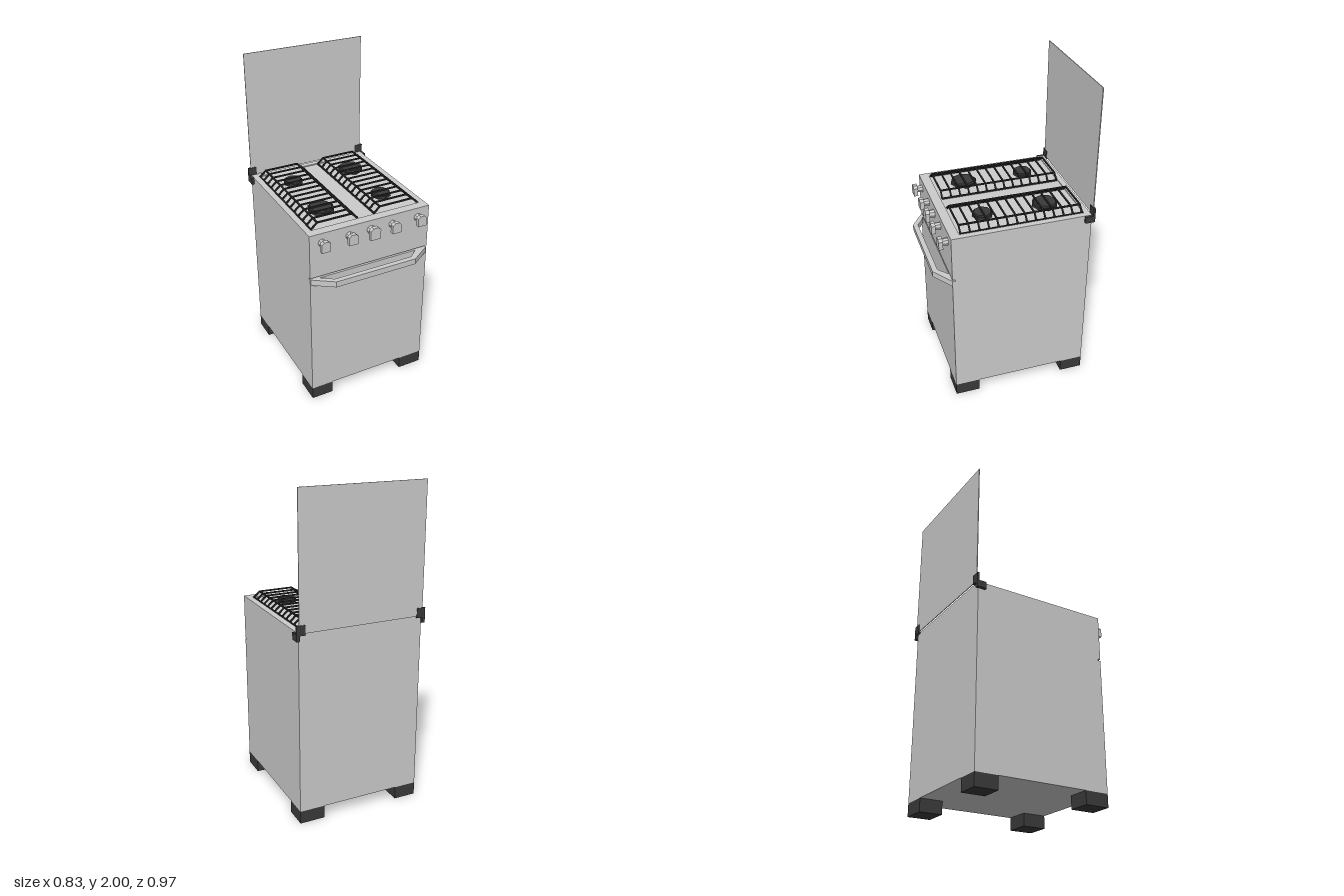
import * as THREE from 'three';
import { mergeGeometries } from 'three/addons/utils/BufferGeometryUtils.js';

const grey = new THREE.MeshStandardMaterial({ color: 0xcccccc, flatShading: true });
const dark = new THREE.MeshStandardMaterial({ color: 0x3a3a3a, flatShading: true });
const iron = new THREE.MeshStandardMaterial({ color: 0x2a2a2a, flatShading: true });

const shapeOf = (pts) => new THREE.Shape(pts.map(([x, y]) => new THREE.Vector2(x, y)));
const extrude = (shape, depth) => new THREE.ExtrudeGeometry(shape, { depth, bevelEnabled: false });
// Plate drawn in x and z, reaching down from the given top
const plate = (shape, top, depth) => extrude(shape, depth).rotateX(Math.PI / 2).translate(0, top, 0);
// Box given by its limits
const box = (x0, x1, y0, y1, z0, z1) =>
  new THREE.BoxGeometry(x1 - x0, y1 - y0, z1 - z0).translate((x0 + x1) / 2, (y0 + y1) / 2, (z0 + z1) / 2);
// Square rod between two points
function rod(a, b, t = 0.009) {
  const p = new THREE.Vector3(...a), q = new THREE.Vector3(...b);
  const d = q.clone().sub(p), len = d.length();
  const g = new THREE.BoxGeometry(t, len + t * 0.5, t);
  g.applyQuaternion(new THREE.Quaternion().setFromUnitVectors(new THREE.Vector3(0, 1, 0), d.normalize()));
  const m = p.add(q).multiplyScalar(0.5);
  return g.translate(m.x, m.y, m.z);
}

export function createModel() {
  const group = new THREE.Group();
  const add = (name, geometry, material = grey) => {
    const mesh = new THREE.Mesh(geometry, material);
    mesh.name = name;
    group.add(mesh);
    return mesh;
  };

  // Cabinet: side profile with the gap above the oven door
  const side = shapeOf([
    [-0.47, 0.08], [0.393, 0.08], [0.393, 0.905], [0.375, 0.905], [0.375, 0.916],
    [0.393, 0.916], [0.393, 1.193], [-0.47, 1.193],
  ]);
  add('cabinet', extrude(side, 0.796).rotateY(-Math.PI / 2).translate(0.398, 0, 0));

  // Raised rim around the cooktop
  const rim = shapeOf([[-0.398, -0.47], [0.398, -0.47], [0.398, 0.393], [-0.398, 0.393]]);
  rim.holes.push(shapeOf([[-0.36, -0.435], [-0.36, 0.335], [0.36, 0.335], [0.36, -0.435]]));
  add('cooktopRim', plate(rim, 1.2, 0.007));

  // Feet
  for (const [x0, x1] of [[-0.398, -0.257], [0.24, 0.398]])
    for (const [z0, z1] of [[-0.47, -0.325], [0.24, 0.393]])
      add('foot', box(x0, x1, 0, 0.08, z0, z1), dark);

  // Raised lid and its hinges
  add('lid', box(-0.398, 0.398, 1.2, 2, -0.481, -0.476));
  for (const s of [-1, 1]) {
    const span = (a, b) => (s > 0 ? [a, b] : [-b, -a]);
    add('hinge', mergeGeometries([
      box(...span(0.395, 0.415), 1.157, 1.2, -0.485, -0.425),
      box(...span(0.36, 0.415), 1.19, 1.25, -0.485, -0.472),
    ]), dark);
  }

  // Oven door handle
  add('doorHandle', plate(shapeOf([
    [-0.398, 0.39], [-0.36, 0.39], [-0.315, 0.41], [-0.265, 0.447], [0.255, 0.447], [0.32, 0.39],
    [0.398, 0.39], [0.265, 0.48], [-0.27, 0.478],
  ]), 0.907, 0.038));

  // Control knobs, the middle one larger
  for (const x of [-0.32, -0.144, 0, 0.143, 0.318]) {
    const k = x === 0 ? 1.15 : 1;
    const cap = shapeOf([
      [-0.029, -0.034], [0.029, -0.034], [0.029, 0.018], [0.014, 0.033], [-0.014, 0.033], [-0.029, 0.018],
    ]);
    add('knobCap', extrude(cap, 0.026).scale(k, k, 1).translate(x, 1.14, 0.427));
    add('knobStem', new THREE.CylinderGeometry(0.021 * k, 0.024 * k, 0.04, 8)
      .rotateX(Math.PI / 2).translate(x, 1.14, 0.41));
  }

  // Burners: wide base ring and a smaller cap
  for (const [x, z, r] of [[-0.205, -0.245, 0.063], [0.203, -0.245, 0.082], [-0.205, 0.148, 0.082], [0.203, 0.148, 0.063]]) {
    add('burnerBase', new THREE.CylinderGeometry(r, r, 0.015, 8).translate(x, 1.212, z), dark);
    add('burnerNeck', new THREE.CylinderGeometry(r * 0.7, r * 0.7, 0.012, 8).translate(x, 1.199, z), dark);
    add('burnerCap', new THREE.CylinderGeometry(r * 0.86, r * 0.9, 0.01, 8).translate(x, 1.224, z), dark);
  }

  // Pan grates: bent cross rods on four long rods
  const outline = [[-0.355, 1.2], [-0.315, 1.235], [-0.095, 1.235], [-0.057, 1.2]];
  for (const s of [-1, 1]) {
    const parts = outline.map(([x, y]) => rod([-s * x, y, -0.425], [-s * x, y, 0.325]));
    for (let i = 0; i < 14; i++) {
      const z = -0.425 + i * 0.75 / 13;
      for (let j = 0; j < 3; j++) {
        const [a, b] = [outline[j], outline[j + 1]];
        parts.push(rod([-s * a[0], a[1], z], [-s * b[0], b[1], z]));
      }
    }
    add(s > 0 ? 'leftGrate' : 'rightGrate', mergeGeometries(parts), iron);
  }
  return group;
}
